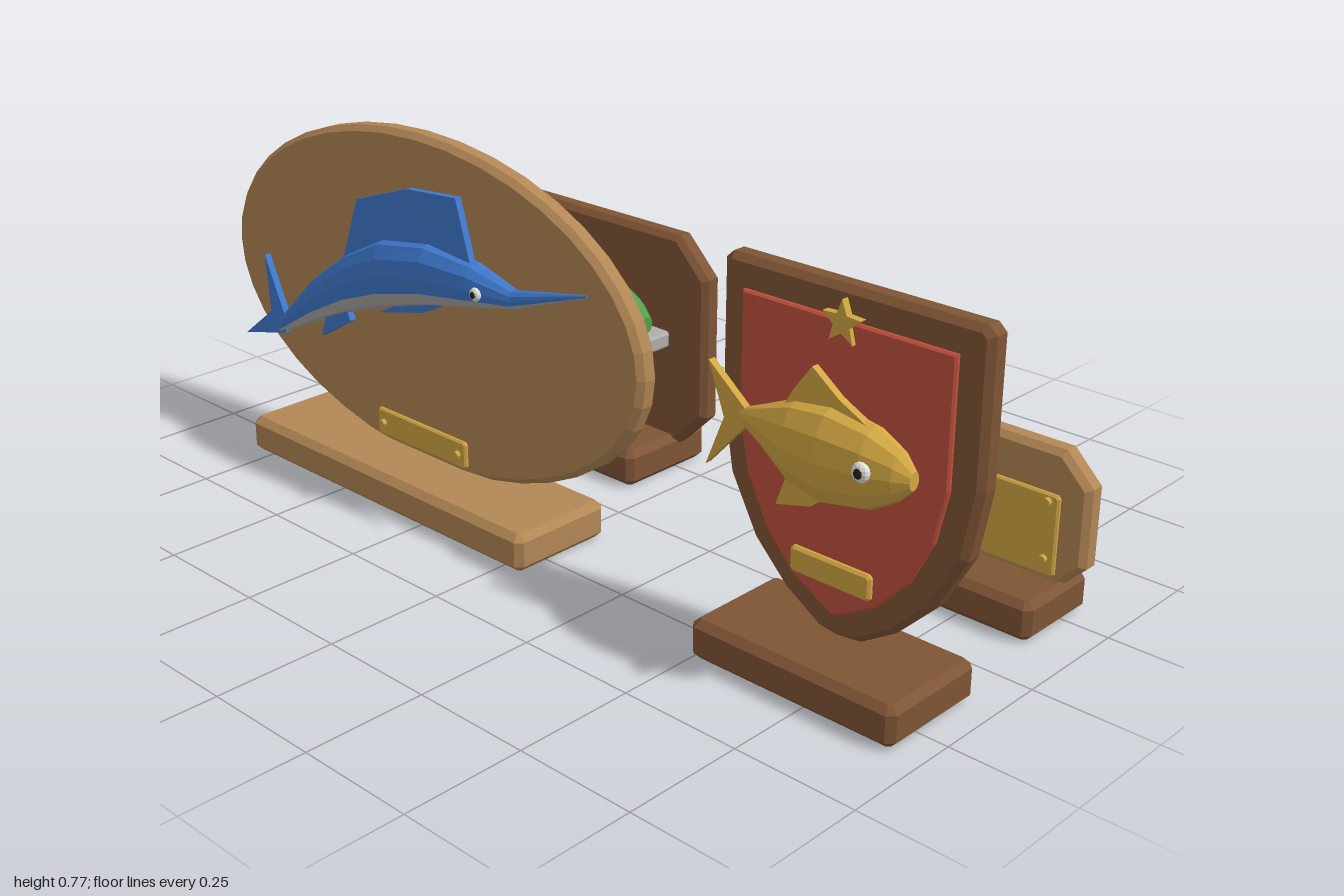
import * as THREE from 'three';

const mat = (name, color) => Object.assign(new THREE.MeshStandardMaterial({ color, flatShading: true }), { name });

export function createModel() {
  const lightWood = mat('light wood', 0xb38755), darkWood = mat('dark wood', 0x7f5535);
  const red = mat('red felt', 0xc4523f), gold = mat('gold', 0xd2a743), blue = mat('blue', 0x3f7acf);
  const silver = mat('silver', 0xb0aeac), green = mat('green', 0x519f4b);
  const white = mat('eye white', 0xe6e6e4), dark = mat('pupil', 0x2e1c16);
  const root = new THREE.Group();

  const group = (name) => {
    const g = new THREE.Group();
    g.name = name;
    root.add(g);
    return g;
  };
  const add = (parent, name, geo, material, x = 0, y = 0, z = 0) => {
    const m = new THREE.Mesh(geo, material);
    m.name = name;
    m.position.set(x, y, z);
    parent.add(m);
    return m;
  };
  // Extruded outline from z = 0 to depth, with an inset bevel
  const slab = (pts, depth, bevel = 0) => {
    const shape = new THREE.Shape(pts.map(([x, y]) => new THREE.Vector2(x, y)));
    const geo = new THREE.ExtrudeGeometry(shape, {
      depth: depth - 2 * bevel, bevelEnabled: bevel > 0, bevelSize: bevel,
      bevelThickness: bevel, bevelOffset: -bevel, bevelSegments: 1,
    });
    return geo.translate(0, 0, bevel);
  };
  // Centred rectangle with cut corners
  const octagon = (w, h, c) => {
    const x = w / 2, y = h / 2;
    return [[x, y - c], [x - c, y], [c - x, y], [-x, y - c], [-x, c - y], [c - x, -y], [x - c, -y], [x, c - y]];
  };
  const mirrored = (half) => [...half, ...half.filter((p) => p[0] > 0).reverse().map(([x, y]) => [-x, y])];

  const addBase = (g, material, x, w, z, d) =>
    add(g, 'base', slab(octagon(w, d, 0.014), 0.08, 0.014).rotateX(-Math.PI / 2), material, x, 0, z);

  const addNameplate = (g, x, y, z, w, h, rivetRows) => {
    add(g, 'nameplate', slab(octagon(w, h, 0.006), 0.012, 0.004), gold, x, y, z);
    for (const ry of rivetRows) for (const s of [-1, 1]) {
      const rivet = new THREE.CylinderGeometry(0.007, 0.009, 0.01, 8).rotateX(Math.PI / 2);
      add(g, 'rivet', rivet, gold, x + s * (w / 2 - 0.022), y + ry, z + 0.015);
    }
  };

  // Fish body from elliptical sections [x, y, half height, half width]
  const fishBody = (sections, backMat, bellyMat) => {
    const n = 12, back = [], belly = [];
    const point = ([x, y, h, w], j) => {
      const a = (j / n) * Math.PI * 2;
      return [x, y + h * Math.sin(a), w * Math.cos(a)];
    };
    const centre = ([x, y]) => [x, y, 0];
    for (let j = 0; j < n; j++) {
      const list = Math.sin(((j + 0.5) / n) * Math.PI * 2) < -0.55 ? belly : back;
      for (let i = 0; i < sections.length - 1; i++) {
        const a = point(sections[i], j), b = point(sections[i + 1], j);
        const c = point(sections[i + 1], j + 1), d = point(sections[i], j + 1);
        list.push(...a, ...b, ...c, ...a, ...c, ...d);
      }
      const first = sections[0], last = sections[sections.length - 1];
      back.push(...centre(first), ...point(first, j), ...point(first, j + 1));
      back.push(...centre(last), ...point(last, j + 1), ...point(last, j));
    }
    const geo = new THREE.BufferGeometry();
    geo.setAttribute('position', new THREE.Float32BufferAttribute([...back, ...belly], 3));
    geo.addGroup(0, back.length / 3, 0);
    geo.addGroup(back.length / 3, belly.length / 3, 1);
    geo.computeVertexNormals();
    return [geo, [backMat, bellyMat]];
  };
  const addFish = (g, z, sections, skin, bellyMat, fins, eye) => {
    add(g, 'fishBody', ...fishBody(sections, skin, bellyMat), 0, 0, z);
    for (const [name, pts, fz = z] of fins) add(g, name, slab(pts, 0.015), skin, 0, 0, fz - 0.0075);
    const [ex, ey, ez, r] = eye;
    add(g, 'eye', new THREE.SphereGeometry(r, 10, 8), white, ex, ey, ez).scale.z = 0.6;
    add(g, 'pupil', new THREE.SphereGeometry(r * 0.55, 8, 6), dark, ex, ey, ez + r * 0.4).scale.z = 0.6;
  };

  // Oval trophy with the billfish
  const oval = group('ovalTrophy');
  addBase(oval, lightWood, -0.375, 0.86, 0.215, 0.24);
  const ellipse = Array.from({ length: 40 }, (_, i) => {
    const a = (i / 40) * Math.PI * 2;
    return [0.625 * Math.cos(a), 0.357 * Math.sin(a)];
  });
  add(oval, 'ovalBoard', slab(ellipse, 0.05, 0.012), lightWood, -0.375, 0.418, 0.15);
  addNameplate(oval, -0.375, 0.12, 0.2, 0.28, 0.06, [0]);
  addFish(oval, 0.245, [
    [-0.79, 0.275, 0.018, 0.012], [-0.66, 0.367, 0.05, 0.024], [-0.54, 0.435, 0.066, 0.034],
    [-0.42, 0.485, 0.075, 0.041], [-0.28, 0.516, 0.067, 0.042], [-0.15, 0.524, 0.047, 0.034],
    [-0.04, 0.522, 0.02, 0.018], [0.155, 0.577, 0.003, 0.003],
  ], blue, silver, [
    ['sailFin', [[-0.56, 0.47], [-0.543, 0.51], [-0.5, 0.625], [-0.34, 0.68], [-0.195, 0.692], [-0.155, 0.56], [-0.35, 0.54]]],
    ['tailFin', [[-0.77, 0.3], [-0.83, 0.428], [-0.82, 0.3], [-0.917, 0.225], [-0.77, 0.262]]],
    ['analFin', [[-0.64, 0.29], [-0.62, 0.35], [-0.55, 0.37], [-0.54, 0.35]]],
    ['pelvicFin', [[-0.44, 0.395], [-0.36, 0.44], [-0.24, 0.46], [-0.3, 0.43]]],
  ], [-0.113, 0.523, 0.28, 0.014]);

  // Shield trophy with the golden fish
  const shield = group('shieldTrophy');
  addBase(shield, darkWood, 0.72, 0.45, 0.215, 0.24);
  const shieldHalf = [[0.262, 0.725], [0.278, 0.71], [0.278, 0.44], [0.255, 0.31], [0.195, 0.2], [0.12, 0.125], [0.045, 0.078], [0, 0.07]];
  const feltHalf = [[0.222, 0.67], [0.222, 0.43], [0.2, 0.33], [0.155, 0.24], [0.09, 0.17], [0, 0.12]];
  add(shield, 'shieldBoard', slab(mirrored(shieldHalf), 0.05, 0.012), darkWood, 0.72, 0, 0.15);
  add(shield, 'shieldField', slab(mirrored(feltHalf), 0.013, 0.004), red, 0.72, 0, 0.2);
  add(shield, 'nameplate', slab(octagon(0.175, 0.05, 0.006), 0.015, 0.005), gold, 0.72, 0.21, 0.213);
  const star = Array.from({ length: 10 }, (_, i) => {
    const a = Math.PI / 2 + (i * Math.PI) / 5, r = i % 2 ? 0.018 : 0.042;
    return [r * Math.cos(a), r * Math.sin(a)];
  });
  add(shield, 'star', slab(star, 0.015), gold, 0.72, 0.668, 0.207);
  addFish(shield, 0.265, [
    [0.55, 0.468, 0.014, 0.01], [0.6, 0.465, 0.038, 0.024], [0.67, 0.457, 0.077, 0.045],
    [0.745, 0.455, 0.09, 0.053], [0.83, 0.457, 0.075, 0.045], [0.885, 0.46, 0.045, 0.029],
    [0.912, 0.46, 0.017, 0.013],
  ], gold, gold, [
    ['dorsalFin', [[0.63, 0.49], [0.665, 0.55], [0.703, 0.602], [0.76, 0.56], [0.82, 0.53], [0.74, 0.5]]],
    ['tailFin', [[0.565, 0.482], [0.478, 0.552], [0.515, 0.455], [0.475, 0.355], [0.565, 0.455]]],
    ['ventralFin', [[0.635, 0.33], [0.66, 0.4], [0.76, 0.39], [0.71, 0.35]]],
  ], [0.842, 0.47, 0.314, 0.018]);

  // Wide trophy with the green fish
  const wide = group('wideTrophy');
  addBase(wide, darkWood, -0.375, 0.63, -0.215, 0.24);
  add(wide, 'wideBoard', slab(octagon(0.79, 0.47, 0.08), 0.05, 0.012), darkWood, -0.375, 0.295, -0.285);
  addFish(wide, -0.177, [
    [-0.67, 0.345, 0.02, 0.013], [-0.55, 0.345, 0.05, 0.032], [-0.42, 0.348, 0.085, 0.052],
    [-0.31, 0.348, 0.094, 0.061], [-0.2, 0.345, 0.08, 0.055], [-0.13, 0.342, 0.05, 0.04],
    [-0.09, 0.342, 0.018, 0.016],
  ], green, silver, [
    ['dorsalFin', [[-0.5, 0.38], [-0.47, 0.46], [-0.41, 0.5], [-0.35, 0.512], [-0.265, 0.42], [-0.38, 0.4]]],
    ['tailFin', [[-0.65, 0.365], [-0.75, 0.445], [-0.715, 0.345], [-0.75, 0.25], [-0.65, 0.325]]],
    ['ventralFin', [[-0.47, 0.215], [-0.46, 0.31], [-0.36, 0.28], [-0.4, 0.24]]],
    ['pectoralFin', [[-0.33, 0.275], [-0.32, 0.32], [-0.24, 0.333], [-0.25, 0.305]], -0.106],
  ], [-0.17, 0.365, -0.118, 0.02]);
  add(wide, 'lowerJaw', slab(octagon(0.12, 0.085, 0.008), 0.035, 0.005).rotateX(-Math.PI / 2), silver, -0.12, 0.29, -0.177);

  // Small trophy with only a large plate
  const small = group('smallTrophy');
  addBase(small, darkWood, 0.72, 0.38, -0.22, 0.2);
  add(small, 'smallBoard', slab(octagon(0.45, 0.28, 0.06), 0.05, 0.012), lightWood, 0.72, 0.2, -0.285);
  addNameplate(small, 0.72, 0.173, -0.235, 0.34, 0.165, [-0.048, 0.068]);

  return root;
}
